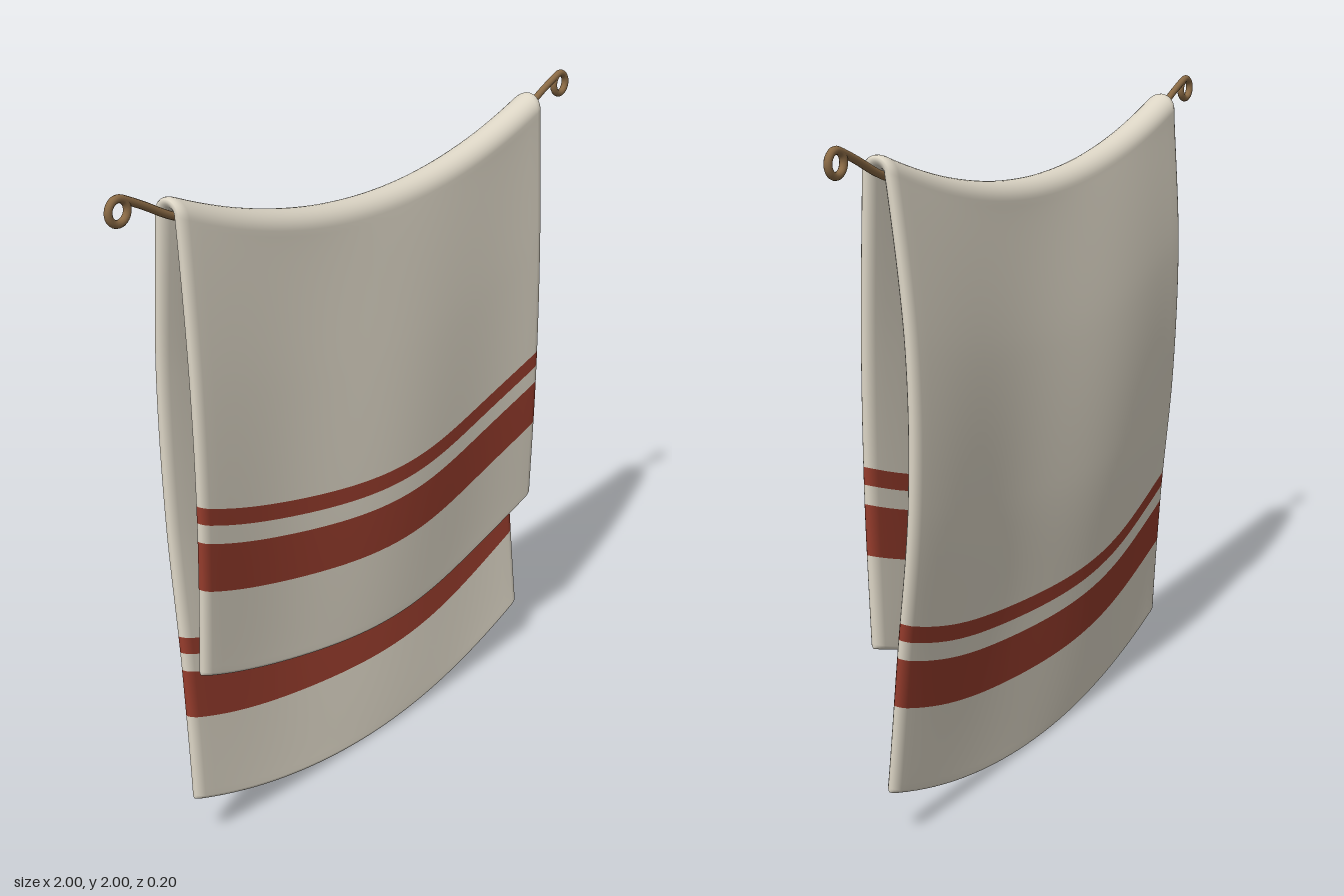
import * as THREE from 'three';

const W = 0.795, H = 0.018, R = 0.035, ARC_Y = 1.747, Z0 = 0.005, A = R * Math.PI / 2;
const FRONT_END = 0.43, BACK_END = 0;
const sag = x => 0.165 * (x / W) ** 2;
const v2 = (y, z) => new THREE.Vector2(y, z);

// Side profiles of the two hanging panels, from the fold down to the hem
const panels = {
  front: { end: FRONT_END, curve: new THREE.SplineCurve([v2(ARC_Y, Z0 + R), v2(1.308, 0.061), v2(0.869, 0.066), v2(FRONT_END, 0.055)]),
    ripple: (x, k) => 0.014 * Math.cos(6.3 * (x - 0.07)) * Math.sin(Math.PI * 0.8 * k) },
  back: { end: BACK_END, curve: new THREE.SplineCurve([v2(ARC_Y, Z0 - R), v2(1.31, -0.068), v2(0.874, -0.063), v2(0.437, -0.022), v2(BACK_END, 0.013)]),
    ripple: (x, k) => 0.017 * Math.cos(6 * (x - 0.22)) * Math.sin(Math.PI * k) },
};
const S_FRONT = -(A + ARC_Y - FRONT_END), S_BACK = A + ARC_Y - BACK_END;

// Centre line of the cloth: s < 0 is the front panel, s > 0 the back one
function centre(s, x) {
  if (Math.abs(s) <= A) return v2(ARC_Y + R * Math.cos(s / R), Z0 - R * Math.sin(s / R));
  const p = s < 0 ? panels.front : panels.back;
  const k = Math.min(1, (Math.abs(s) - A) / (ARC_Y - p.end));
  const c = p.curve.getPoint(k);
  c.y += p.ripple(x, k);
  return c;
}

// Loop around the cloth's width and thickness: [x, thickness factor]
function clothLoop() {
  const pts = [], rx = 0.03, n = 36, m = 8;
  for (const side of [1, -1]) {
    for (let i = 1; i < n; i++) pts.push([side * (W - rx) * (2 * i / n - 1), side]);
    for (let i = 0; i <= m; i++) {
      const a = Math.PI * i / m;
      pts.push([side * (W - rx + rx * Math.sin(a)), side * Math.cos(a)]);
    }
  }
  return pts;
}

// Rows along the cloth, each with its distance s and whether a stripe follows
function clothRows() {
  const tip = 0.025, rows = [];
  const heights = [0.29, 0.42, 0.475, 0.525];        // stripe edges above each hem
  const cuts = [
    S_FRONT + tip, ...heights.map(h => S_FRONT + h), -A, A,
    ...heights.map(h => S_BACK - h).reverse(), S_BACK - tip,
  ];
  const striped = [1, 3, 7, 9];
  const rounding = i => tip * (1 - Math.cos(Math.PI / 2 * i / 6));
  for (let i = 0; i < 6; i++) rows.push({ s: S_FRONT + rounding(i), stripe: false });
  for (let c = 0; c < cuts.length - 1; c++) {
    const len = cuts[c + 1] - cuts[c];
    const n = c === 5 ? 16 : Math.max(2, Math.ceil(len / 0.03));
    for (let i = 0; i < n; i++) rows.push({ s: cuts[c] + len * i / n, stripe: striped.includes(c) });
  }
  for (let i = 6; i >= 0; i--) rows.push({ s: S_BACK - rounding(i), stripe: false });
  // hem rounding
  for (const r of rows) {
    const d = Math.min(r.s - S_FRONT, S_BACK - r.s);
    r.h = d >= tip ? H : H * Math.sqrt(Math.max(0, 1 - (1 - d / tip) ** 2));
  }
  return rows;
}

function buildCloth() {
  const loop = clothLoop(), rows = clothRows(), n = loop.length;
  const pos = [], plain = [], stripes = [];
  for (const { s, h } of rows) {
    for (const [x, t] of loop) {
      const c = centre(s, x), e = 0.004;
      const d = centre(Math.min(s + e, S_BACK), x).sub(centre(Math.max(s - e, S_FRONT), x)).normalize();
      pos.push(x, c.x - d.y * t * h + sag(x), c.y + d.x * t * h);
    }
  }
  for (let i = 0; i < rows.length - 1; i++) {
    const target = rows[i].stripe ? stripes : plain;
    for (let j = 0; j < n; j++) {
      const k = (j + 1) % n, a = i * n + j, b = i * n + k;
      target.push(a, b, a + n, b, b + n, a + n);
    }
  }
  // Both colours share one set of points and normals, so the shading has no seams
  const whole = new THREE.BufferGeometry();
  whole.setAttribute('position', new THREE.Float32BufferAttribute(pos, 3));
  whole.setIndex([...plain, ...stripes]);
  whole.computeVertexNormals();
  return [plain, stripes].map(index => {
    const g = new THREE.BufferGeometry();
    g.setAttribute('position', whole.getAttribute('position'));
    g.setAttribute('normal', whole.getAttribute('normal'));
    g.setIndex(index);
    return g;
  });
}

// Sagging rod with an eye curled at each end
function buildRod() {
  const pts = [], cx = 0.957, cy = 1.957, r = 0.032;
  for (let i = 0; i <= 12; i++) {
    const x = 0.795 * i / 12;
    pts.push(new THREE.Vector3(x, 1.75 + sag(x), Z0));
  }
  pts.push(new THREE.Vector3(0.87, 1.953, Z0));
  for (let i = 0; i <= 18; i++) {
    const a = THREE.MathUtils.degToRad(114 - 20 * i);
    pts.push(new THREE.Vector3(cx + r * Math.cos(a), cy + r * Math.sin(a), Z0));
  }
  const mirrored = pts.slice(1).reverse().map(p => new THREE.Vector3(-p.x, p.y, p.z));
  const path = new THREE.CatmullRomCurve3([...mirrored, ...pts]);
  return new THREE.TubeGeometry(path, 320, 0.011, 12);
}

export function createModel() {
  const model = new THREE.Group();
  const add = (name, geometry, color) => {
    const mesh = new THREE.Mesh(geometry, new THREE.MeshStandardMaterial({ color }));
    mesh.name = name;
    model.add(mesh);
  };
  const [plain, stripes] = buildCloth();
  add('cloth', plain, 0xddd6c6);
  add('clothStripes', stripes, 0x963c2c);
  add('hangingRod', buildRod(), 0x8a6a45);
  return model;
}
